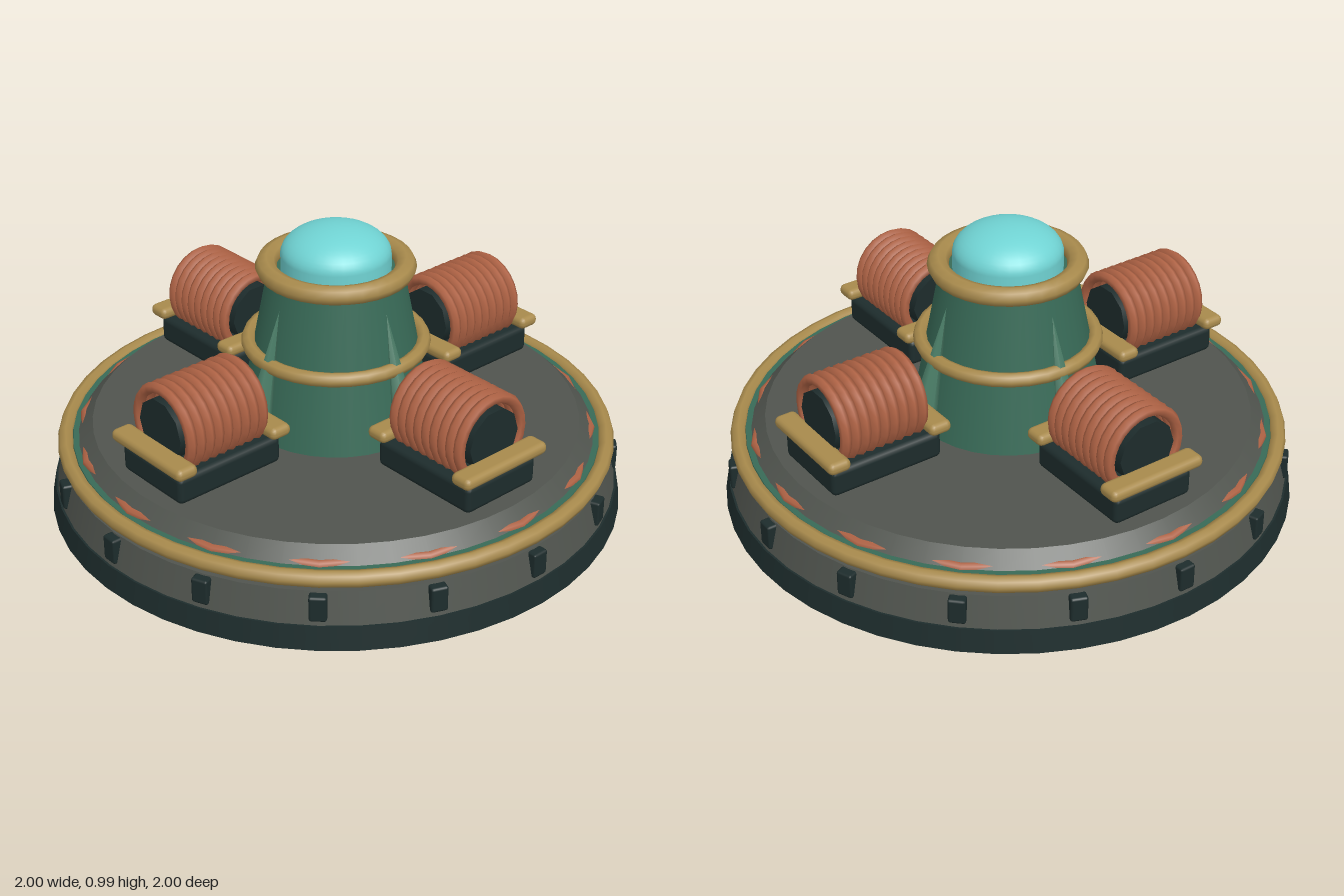
import * as THREE from 'three';
import { RoundedBoxGeometry } from 'three/addons/geometries/RoundedBoxGeometry.js';

const mat = (color) => new THREE.MeshStandardMaterial({ color });
const DARK = mat(0x1d2c2c), GREY = mat(0x50544e), GREEN = mat(0x386a57), FIN = mat(0x4a7d67);
const GOLD = mat(0xa88a4c), COPPER = mat(0xae6244), GLASS = mat(0x70d3d3);

function add(parent, name, geometry, material, x = 0, y = 0, z = 0) {
  const mesh = new THREE.Mesh(geometry, material);
  mesh.name = name;
  mesh.position.set(x, y, z);
  parent.add(mesh);
  return mesh;
}

// Upright tapered drum between two heights
function drum(parent, name, material, rBottom, rTop, y0, y1, sides = 48) {
  return add(parent, name, new THREE.CylinderGeometry(rTop, rBottom, y1 - y0, sides), material, 0, (y0 + y1) / 2);
}

// Horizontal ring around the y axis
function hoop(parent, name, material, radius, tube, y, sides = 48, squash = 1) {
  const g = new THREE.TorusGeometry(radius, tube, 8, sides).rotateX(Math.PI / 2).scale(1, squash, 1);
  return add(parent, name, g, material, 0, y);
}

// Coil lying along +x on its plinth
function makeCoil() {
  const coil = new THREE.Group();
  coil.name = 'coil';
  add(coil, 'coilPlinth', new RoundedBoxGeometry(0.42, 0.1, 0.31, 2, 0.02), DARK, 0.59, 0.35);
  for (const x of [0.397, 0.783]) {
    add(coil, 'coilClamp', new RoundedBoxGeometry(0.082, 0.044, 0.37, 2, 0.02), GOLD, x, 0.428);
  }
  const core = new THREE.CylinderGeometry(0.108, 0.108, 0.33, 10).rotateZ(Math.PI / 2);
  add(coil, 'coilCore', core, DARK, 0.59, 0.5);
  const winding = new THREE.TorusGeometry(0.138, 0.019, 6, 24).rotateY(Math.PI / 2);
  for (let i = 0; i < 9; i++) {
    add(coil, 'coilWinding', winding, COPPER, 0.443 + i * 0.0365, 0.5);
  }
  return coil;
}

// Tapered brace leaning against the tower on the +x side
function makeBrace() {
  const foot = new THREE.Vector3(0.342, 0.4, 0), tip = new THREE.Vector3(0.25, 0.755, 0);
  const dir = tip.clone().sub(foot);
  const g = new THREE.ConeGeometry(0.044, dir.length(), 6);
  const brace = new THREE.Mesh(g, FIN);
  brace.name = 'brace';
  brace.position.copy(foot).add(tip).multiplyScalar(0.5);
  brace.quaternion.setFromUnitVectors(new THREE.Vector3(0, 1, 0), dir.normalize());
  return brace;
}

export function createModel() {
  const model = new THREE.Group();
  model.name = 'coilGenerator';

  // Stepped round base
  drum(model, 'baseSkirt', DARK, 1.0, 0.985, 0, 0.08);
  drum(model, 'baseBand', GREY, 0.978, 0.95, 0.08, 0.19);
  drum(model, 'baseCollar', GREEN, 0.93, 0.915, 0.19, 0.245);
  hoop(model, 'rimRing', GOLD, 0.94, 0.028, 0.23);
  hoop(model, 'deckTrim', COPPER, 0.885, 0.018, 0.242, 16);
  drum(model, 'deck', GREY, 0.895, 0.845, 0.245, 0.293);

  // Lugs around the band
  const lug = new RoundedBoxGeometry(0.045, 0.09, 0.058, 1, 0.008);
  for (let i = 0; i < 16; i++) {
    const a = (i / 16) * Math.PI * 2;
    const m = add(model, 'rimLug', lug, DARK, Math.cos(a) * 0.96, 0.14, Math.sin(a) * 0.96);
    m.rotation.y = -a;
  }

  // Central tower, its rings and the dome
  drum(model, 'tower', GREEN, 0.335, 0.23, 0.29, 0.83, 32);
  hoop(model, 'towerWaistRing', GOLD, 0.3, 0.025, 0.57, 32);
  hoop(model, 'towerTopRing', GOLD, 0.235, 0.037, 0.848, 32, 0.88);
  const dome = new THREE.SphereGeometry(0.187, 32, 12, 0, Math.PI * 2, 0, Math.PI / 2).scale(1, 0.1 / 0.187, 1);
  add(model, 'dome', dome, GLASS, 0, 0.89);
  drum(model, 'domeSeat', GLASS, 0.187, 0.187, 0.825, 0.89, 32);

  // Four arms, each with a coil and a brace
  for (let i = 0; i < 4; i++) {
    const arm = new THREE.Group();
    arm.name = 'coilArm';
    arm.add(makeCoil(), makeBrace());
    arm.rotation.y = (i * Math.PI) / 2;
    model.add(arm);
  }
  return model;
}
